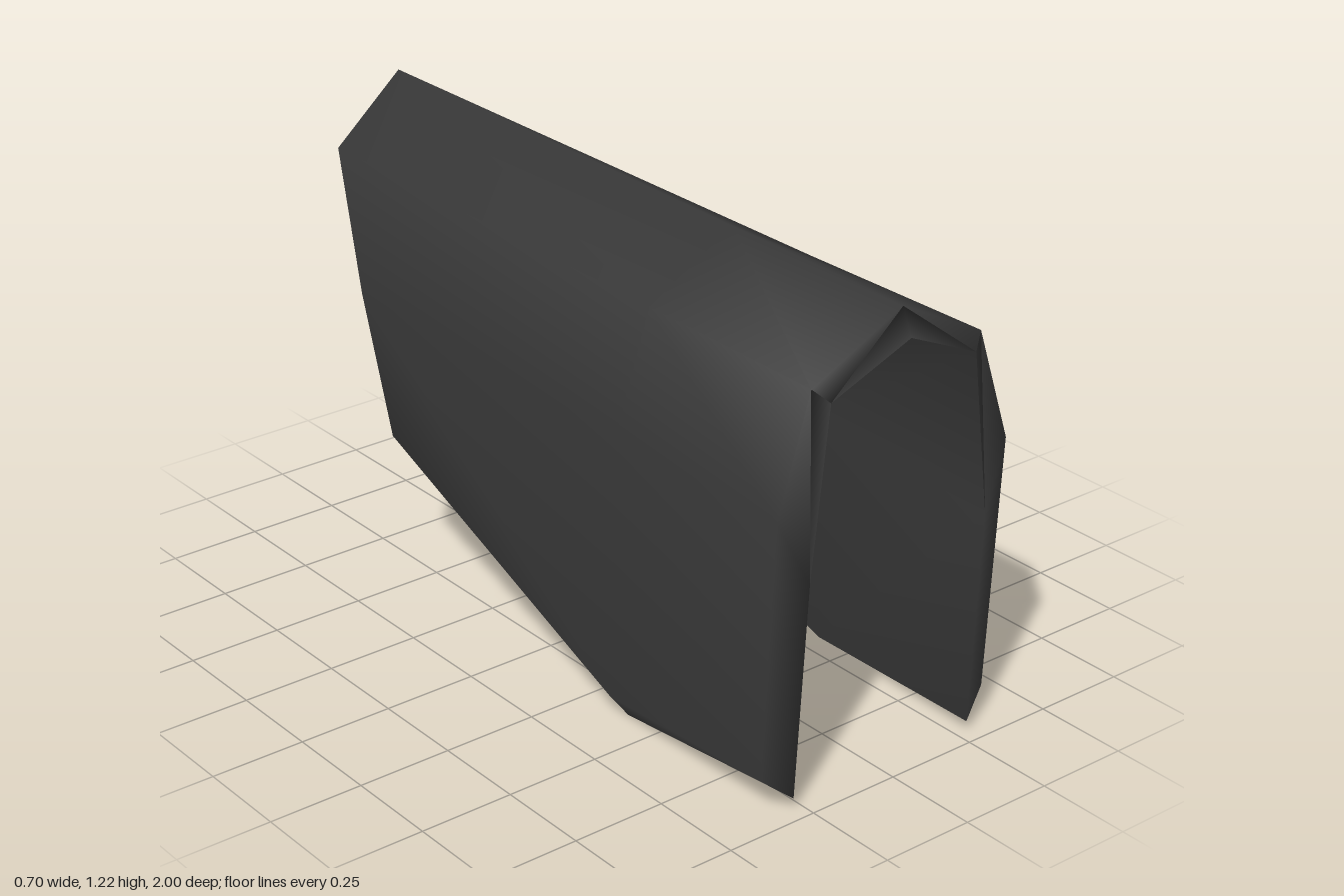
import * as THREE from 'three';

// One level of the arch: outer face front and back, inner rim front and back.
// The points between them sit at z = 0.39, where the lower edge bends.
function wallLoop({ outer, rim, outerMid, rimMid }) {
  const between = ([a, b]) => a.map((v, k) => v + (b[k] - v) * (a[2] - 0.39) / (a[2] - b[2]));
  return [
    outer[0], outerMid ?? between(outer), outer[1],
    rim[1], rimMid ?? between(rim), rim[0],
  ];
}

// Lower edge up to the ridge
const half = [
  { outer: [[0.352, 0.09, 0.93], [0.34, 0.41, -0.55]], outerMid: [0.352, 0.06, 0.37],
    rim: [[0.277, 0.03, 0.96], [0.256, 0.37, -0.57]], rimMid: [0.31, 0, 0.39] },
  { outer: [[0.352, 0.77, 0.965], [0.336, 0.77, -0.675]],
    rim: [[0.272, 0.6, 0.99], [0.283, 0.75, -0.7]] },
  { outer: [[0.257, 1.065, 0.96], [0.228, 1.068, -0.925]],
    rim: [[0.22, 1.03, 0.985], [0.19, 1.0, -0.95]] },
  { outer: [[0, 1.197, 0.97], [0, 1.222, -0.97]],
    rim: [[0, 1.13, 1], [0, 1.16, -1]] },
].map(wallLoop);

function shellGeometry() {
  const mirrored = half.slice(0, -1).reverse().map(l => l.map(([x, y, z]) => [-x, y, z]));
  const rows = [...half, ...mirrored];
  const size = half[0].length;
  const index = [];
  const quad = (a, b, c, d) => index.push(a, b, c, a, c, d);

  // Walls, inside and out, with the bevelled front and back rims
  for (let r = 0; r < rows.length - 1; r++) {
    for (let c = 0; c < size; c++) {
      const n = (c + 1) % size, a = r * size, b = a + size;
      if (r < half.length - 1) quad(a + c, a + n, b + n, b + c);
      else quad(a + n, b + n, b + c, a + c);
    }
  }

  // Bevelled lower edges
  const last = (rows.length - 1) * size;
  for (const q of [[1, 0, 5, 4], [2, 1, 4, 3]]) {
    quad(...q);
    quad(...q.map(k => last + k).reverse());
  }

  const g = new THREE.BufferGeometry();
  g.setAttribute('position', new THREE.Float32BufferAttribute(rows.flat(2), 3));
  g.setIndex(index);
  g.computeVertexNormals();
  return g;
}

export function createModel() {
  const group = new THREE.Group();
  group.name = 'archedCover';
  const darkGrey = new THREE.MeshStandardMaterial({ color: 0x383838 });
  darkGrey.name = 'dark grey';
  const shell = new THREE.Mesh(shellGeometry(), darkGrey);
  shell.name = 'archedShell';
  group.add(shell);
  return group;
}
